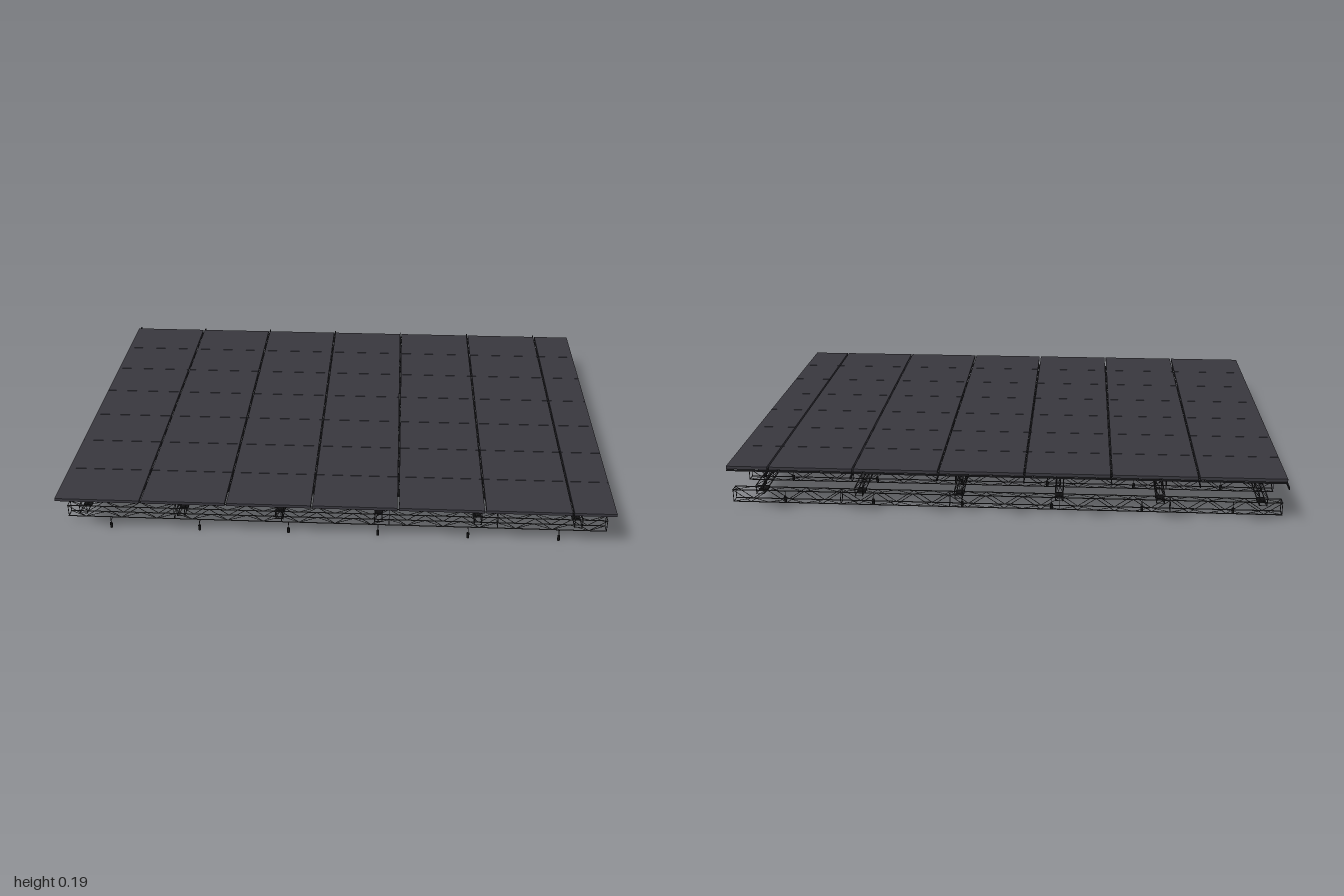
import * as THREE from 'three';
import { mergeGeometries } from 'three/addons/utils/BufferGeometryUtils.js';

const flat = (name, color) => Object.assign(new THREE.MeshStandardMaterial({ color }), { name });
const V = (x, y, z) => new THREE.Vector3(x, y, z);
const UP = V(0, 1, 0);

// Box from its minimum and maximum corners
function block(x0, x1, y0, y1, z0, z1) {
  return new THREE.BoxGeometry(x1 - x0, y1 - y0, z1 - z0)
    .translate((x0 + x1) / 2, (y0 + y1) / 2, (z0 + z1) / 2);
}

// Thin round bar between two points
function strut(a, b, r) {
  const d = b.clone().sub(a);
  const g = new THREE.CylinderGeometry(r, r, d.length(), 6);
  g.applyQuaternion(new THREE.Quaternion().setFromUnitVectors(UP, d.normalize()));
  const m = a.clone().add(b).multiplyScalar(0.5);
  return g.translate(m.x, m.y, m.z);
}

// Box truss: at(t, side, y) places a point along its length
function trussParts(at, t0, t1, half, y0, y1, step, posts) {
  const parts = [];
  const corners = [[-half, y0], [-half, y1], [half, y1], [half, y0]];
  for (const [s, y] of corners) parts.push(strut(at(t0, s, y), at(t1, s, y), 0.0019));
  const n = Math.round((t1 - t0) / step);
  for (let i = 0; i < n; i++) {
    const a = t0 + ((t1 - t0) * i) / n, b = t0 + ((t1 - t0) * (i + 1)) / n;
    const up = i % 2 === 1;
    for (const s of [-half, half]) parts.push(strut(at(a, s, up ? y0 : y1), at(b, s, up ? y1 : y0), 0.0012));
    for (const y of [y0, y1]) parts.push(strut(at(a, up ? half : -half, y), at(b, up ? -half : half, y), 0.0012));
  }
  for (const t of posts) {
    corners.forEach(([s, y], k) => {
      const [s2, y2] = corners[(k + 1) % 4];
      parts.push(strut(at(t, s, y), at(t, s2, y2), 0.0014));
    });
  }
  return parts;
}

export function createModel() {
  const model = new THREE.Group();
  const deckMat = flat('charcoal deck', 0x38373e);
  const frameMat = flat('dark frame', 0x1e1e21);
  const trussMat = flat('truss metal', 0x2a2a2c);
  const blackMat = flat('black fittings', 0x101011);
  const add = (name, parts, material) => {
    const mesh = new THREE.Mesh(mergeGeometries(parts), material);
    mesh.name = name;
    model.add(mesh);
  };

  // Deck panels with narrow gaps; the last column is a half panel
  const seamsX = [-1, -0.692, -0.384, -0.076, 0.232, 0.54, 0.848, 1];
  const rowDepth = 1.447 / 7, backZ = -0.702;
  const panels = [];
  for (let c = 0; c < 7; c++) {
    for (let r = 0; r < 7; r++) {
      const z = backZ + r * rowDepth;
      panels.push(block(seamsX[c] + (c ? 0.003 : 0), seamsX[c + 1] - (c < 6 ? 0.003 : 0),
        0.174, 0.185, z + (r ? 0.001 : 0), z + rowDepth - (r < 6 ? 0.001 : 0)));
    }
  }
  add('deckPanels', panels, deckMat);

  // Lengthwise rails below the seams, standing out at the back
  const rails = [];
  for (let c = 0; c < 7; c++) {
    const x = Math.max(seamsX[c], -0.998);
    rails.push(block(x - 0.002, x + 0.002, 0.164, 0.172, -0.747, 0.635));
  }
  add('deckRails', rails, frameMat);

  // Cross beams under every row of panels
  const beams = [];
  for (let r = 0; r < 7; r++) {
    const z = backZ + r * rowDepth;
    beams.push(block(-1, 1, 0.166, 0.172, z - 0.003 + (r ? 0 : 0.003), z + 0.004));
    beams.push(block(-1, 1, 0.166, 0.172, z + rowDepth / 2 - 0.002, z + rowDepth / 2 + 0.002));
  }
  add('crossBeams', beams, frameMat);

  // Short packers between the rails and the deck
  const packers = [];
  for (let c = 0; c < 7; c++) {
    for (let r = 0; r < 14; r++) {
      const x = Math.max(seamsX[c], -0.997), z = -0.65 + r * 0.098;
      packers.push(block(x - 0.003, x + 0.003, 0.17, 0.175, z - 0.02, z + 0.02));
    }
  }
  add('railPackers', packers, blackMat);

  // Lower trusses across the width
  const lowerZ = Array.from({ length: 7 }, (_, i) => 0.605 - i * 0.2073);
  const lower = lowerZ.flatMap((z) => trussParts((t, s, y) => V(t, y, z + s),
    -1, 1, 0.017, 0.027, 0.073, 0.4 / 6, [-0.998, -0.6, -0.2, 0.2, 0.6, 0.998]));
  add('lowerTrusses', lower, trussMat);

  // Upper trusses from front to back
  const upperX = Array.from({ length: 6 }, (_, i) => -0.922 + i * 0.361);
  const upper = upperX.flatMap((x) => trussParts((t, s, y) => V(x + s, y, t),
    -0.7, 0.68, 0.0135, 0.08, 0.111, 0.138, [-0.698, -0.562, -0.286, -0.01, 0.128, 0.266, 0.542, 0.678]));
  add('upperTrusses', upper, trussMat);

  // Clamps where the trusses cross
  const clamps = [];
  for (const x of upperX) {
    for (const z of lowerZ) clamps.push(block(x - 0.015, x + 0.015, 0.072, 0.08, z - 0.018, z + 0.018));
  }
  add('crossingClamps', clamps, blackMat);

  // Hanger cables from the deck frame to the upper trusses
  const cables = [];
  for (const x of upperX) {
    for (const z of [0.605, 0.22, -0.195, -0.61]) cables.push(strut(V(x, 0.08, z), V(x, 0.17, z), 0.0007));
  }
  add('hangerCables', cables, trussMat);

  // Small feet on rods beside the lower trusses, alternate rows offset
  const feet = [], rods = [];
  lowerZ.forEach((lz, r) => {
    for (let i = 0; i < 6; i++) {
      const x = -0.822 + i * 0.331 + (r % 2 ? 0.011 : -0.011), z = lz + 0.045;
      feet.push(new THREE.CylinderGeometry(0.005, 0.005, 0.021, 10).translate(x, 0.0105, z));
      rods.push(strut(V(x, 0.02, z), V(x, 0.045, z), 0.0013));
      rods.push(strut(V(x, 0.029, z), V(x, 0.029, lz + 0.017), 0.001));
    }
  });
  add('feet', feet, blackMat);
  add('footRods', rods, trussMat);

  return model;
}
